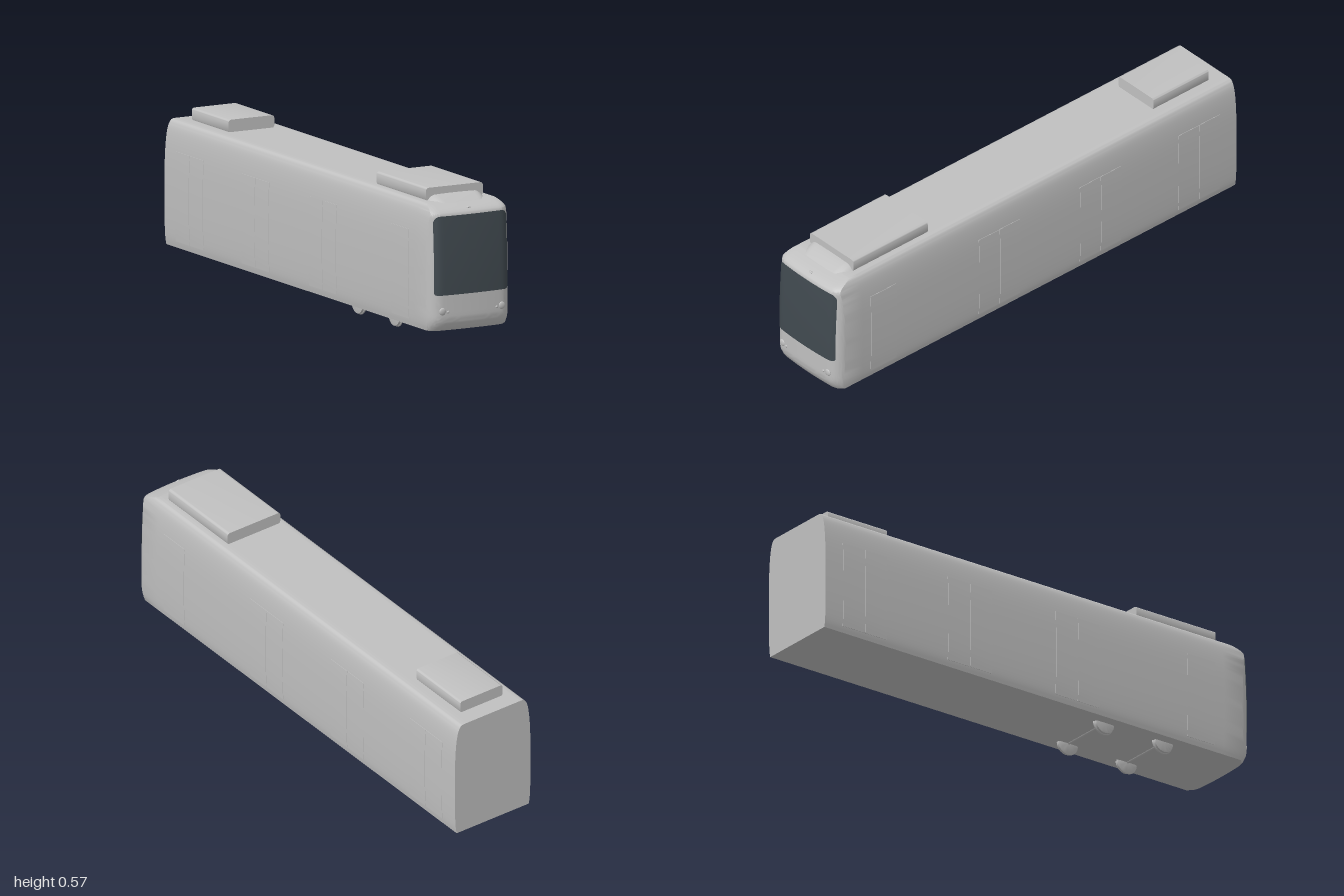
import * as THREE from 'three';
import { toCreasedNormals } from 'three/addons/utils/BufferGeometryUtils.js';

const paint = new THREE.MeshStandardMaterial({ color: 0xc0c0c0, side: THREE.DoubleSide });
paint.name = 'light grey paint';
const glass = new THREE.MeshStandardMaterial({ color: 0x414a50, side: THREE.DoubleSide });
glass.name = 'dark glass';

const BOTTOM = 0.045, TOP = 0.52;

// Side of the body cross-section, from sill to roof edge
const side = new THREE.SplineCurve([
  [0.167, BOTTOM], [0.172, 0.08], [0.175, 0.16], [0.1755, 0.26], [0.174, 0.36],
  [0.17, 0.43], [0.163, 0.48], [0.154, 0.506], [0.143, 0.518], [0.128, TOP],
].map(p => new THREE.Vector2(...p))).getPoints(36);

function halfWidth(y) {
  for (let i = 1; i < side.length; i++) {
    const a = side[i - 1], b = side[i];
    if (y <= b.y) return a.x + (b.x - a.x) * (y - a.y) / (b.y - a.y);
  }
  return 0.128;
}

// Depth of the rounded nose at any point of the front
function noseZ(x, y) {
  const u = Math.min(Math.max((Math.abs(x) - 0.125) / 0.051, 0), 1);
  const lean = Math.max(y - 0.2, 0) / 0.28;
  const brow = Math.max(y - 0.482, 0) / 0.038;
  const chin = Math.max(0.1 - y, 0) / 0.055;
  return 0.997 - 0.008 * (x / 0.157) ** 2 - 0.05 * (1 - Math.sqrt(1 - u * u))
    - 0.011 * lean ** 2 - 0.08 * brow ** 2 - 0.022 * chin ** 2;
}

// Surface over a grid of rows of points
function skin(rows, closed = false) {
  const n = rows[0].length, index = [];
  for (let r = 0; r < rows.length - 1; r++) {
    for (let i = 0; i < (closed ? n : n - 1); i++) {
      const a = r * n + i, b = r * n + (i + 1) % n;
      index.push(a, b, b + n, a, b + n, a + n);
    }
  }
  const g = new THREE.BufferGeometry();
  g.setAttribute('position', new THREE.Float32BufferAttribute(rows.flat(2), 3));
  g.setIndex(index);
  return g;
}

function add(parent, name, geometry, material = paint) {
  const mesh = new THREE.Mesh(geometry, material);
  mesh.name = name;
  parent.add(mesh);
  return mesh;
}

// Body shell: rear wall, straight sides, then nose rings shrinking to the centre
function bodyGeometry() {
  const half = [];
  for (let i = 0; i < 8; i++) half.push([0.167 * i / 8, BOTTOM]);
  side.forEach(p => half.push([p.x, p.y]));
  for (let i = 7; i >= 0; i--) half.push([0.128 * i / 8, TOP]);
  const ring = half.concat(half.slice(1, -1).reverse().map(([x, y]) => [-x, y]));
  const cy = 0.28;
  const at = (s, zOf) => ring.map(([px, py]) => {
    const x = px * s, y = cy + (py - cy) * s;
    return [x, y, zOf(x, y)];
  });
  const rows = [at(0, () => -1), at(1, () => -1), at(1, () => 0.86)];
  for (const s of [1, 0.995, 0.985, 0.97, 0.95, 0.93, 0.91, 0.88, 0.85, 0.81, 0.76, 0.7, 0.6, 0.45, 0.25, 0]) {
    rows.push(at(s, noseZ));
  }
  return toCreasedNormals(skin(rows, true), 0.6);
}

// Windscreen with rounded corners, following the nose
function windscreenGeometry() {
  const y0 = 0.182, y1 = 0.48, w = 0.157, rows = [];
  const ys = [];
  for (let i = 0; i <= 4; i++) ys.push(y0 + 0.01 * i / 4);
  for (let i = 1; i <= 14; i++) ys.push(y0 + 0.01 + (y1 - 0.026 - y0 - 0.01) * i / 14);
  for (let i = 1; i <= 8; i++) ys.push(y1 - 0.026 * (1 - Math.sin(i / 8 * Math.PI / 2)));
  for (const y of ys) {
    const r = y > 0.3 ? 0.026 : 0.01;
    const t = Math.max(0, 1 - (y > 0.3 ? y1 - y : y - y0) / r);
    const hw = w - r * (1 - Math.sqrt(Math.max(0, 1 - t * t)));
    const row = [];
    for (let i = 0; i <= 32; i++) {
      const x = hw * (i / 16 - 1);
      row.push([x, y, noseZ(x, y) + 0.003]);
    }
    rows.push(row);
  }
  return toCreasedNormals(skin(rows), 0.6);
}

// Door leaf: thin skin just proud of the curved side, edges returned to the body
function doorGeometry(sign, zA, zB) {
  const y0 = 0.07, y1 = 0.41, e = 0.0005;
  const column = (z, out) => {
    const col = [[sign * halfWidth(y0), y0, z]];
    for (let i = 0; i <= 12; i++) {
      const y = y0 + (y1 - y0) * i / 12;
      col.push([sign * (halfWidth(y) + out), y, z]);
    }
    col.push([sign * halfWidth(y1), y1, z]);
    return col;
  };
  const cols = [column(zA, 0), column(zA + e, 0.0015), column(zB - e, 0.0015), column(zB, 0)];
  return toCreasedNormals(skin(sign > 0 ? cols : cols.reverse()), 0.5);
}

// Roof box with softened long edges
function roofBoxGeometry(hw, length) {
  const s = new THREE.Shape();
  s.moveTo(-hw + 0.006, 0.515);
  s.lineTo(hw - 0.006, 0.515);
  s.lineTo(hw, 0.528);
  s.lineTo(hw, 0.556);
  s.quadraticCurveTo(hw - 0.001, 0.567, hw - 0.012, 0.567);
  s.lineTo(-hw + 0.012, 0.567);
  s.quadraticCurveTo(-hw + 0.001, 0.567, -hw, 0.556);
  s.lineTo(-hw, 0.528);
  const g = new THREE.ExtrudeGeometry(s, { depth: length, bevelEnabled: false, curveSegments: 6 });
  return toCreasedNormals(g, 0.6);
}

// Sloping fairing ahead of the front roof box
function fairingGeometry() {
  const rows = [];
  for (let j = 0; j <= 8; j++) {
    const t = j / 8, z = 0.855 + 0.085 * t, rise = 0.541 - 0.036 * t ** 1.4, row = [];
    for (let i = 0; i <= 20; i++) {
      const u = i / 10 - 1;
      const shoulder = Math.max(0, Math.abs(u) - 0.72) / 0.28;
      row.push([(0.127 - 0.012 * t) * -u, rise - 0.029 * shoulder ** 1.5 - 0.003 * u * u, z]);
    }
    rows.push(row);
  }
  return toCreasedNormals(skin(rows.reverse()), 0.8);
}

// Flanged rail wheel, axis along y
const wheelProfile = [
  [0, 0.103], [0.036, 0.103], [0.046, 0.107], [0.047, 0.109], [0.046, 0.112],
  [0.043, 0.114], [0.042, 0.122], [0.034, 0.124], [0, 0.124],
].map(p => new THREE.Vector2(...p));

export function createModel() {
  const model = new THREE.Group();
  model.name = 'railCar';

  add(model, 'body', bodyGeometry());
  add(model, 'windscreen', windscreenGeometry(), glass);

  // Roof equipment
  add(model, 'frontRoofBox', roofBoxGeometry(0.122, 0.37)).position.z = 0.49;
  add(model, 'rearRoofBox', roofBoxGeometry(0.098, 0.275)).position.z = -0.93;
  add(model, 'roofFairing', fairingGeometry());

  // Lamps
  const lamp = (name, x, y, rx, ry, depth) => {
    const m = add(model, name, new THREE.SphereGeometry(1, 20, 12));
    m.scale.set(rx, ry, depth);
    m.position.set(x, y, noseZ(x, y));
  };
  lamp('topLamp', 0, 0.501, 0.009, 0.004, 0.005);
  for (const s of [1, -1]) {
    lamp('headlight', s * 0.127, 0.121, 0.014, 0.014, 0.005);
    lamp('markerLight', s * 0.104, 0.118, 0.005, 0.005, 0.004);
  }

  // Doors: a single leaf for the driver, then three double doors on each side
  const leaves = [[0.69, 0.82]];
  for (const c of [0.178, -0.325, -0.815]) {
    leaves.push([c - 0.103, c - 0.001], [c + 0.001, c + 0.103]);
  }
  for (const s of [1, -1]) {
    for (const [a, b] of leaves) add(model, 'doorLeaf', doorGeometry(s, a, b));
  }

  // Bogie wheels and axles
  const wheelGeo = toCreasedNormals(new THREE.LatheGeometry(wheelProfile, 32), 0.5);
  const axleGeo = new THREE.CylinderGeometry(0.006, 0.006, 0.21, 12);
  for (const z of [0.62, 0.345]) {
    for (const s of [1, -1]) {
      const w = add(model, 'wheel', wheelGeo);
      w.rotation.z = -s * Math.PI / 2;
      w.position.set(0, 0.047, z);
    }
    const axle = add(model, 'axle', axleGeo);
    axle.rotation.z = Math.PI / 2;
    axle.position.set(0, 0.047, z);
  }
  return model;
}
